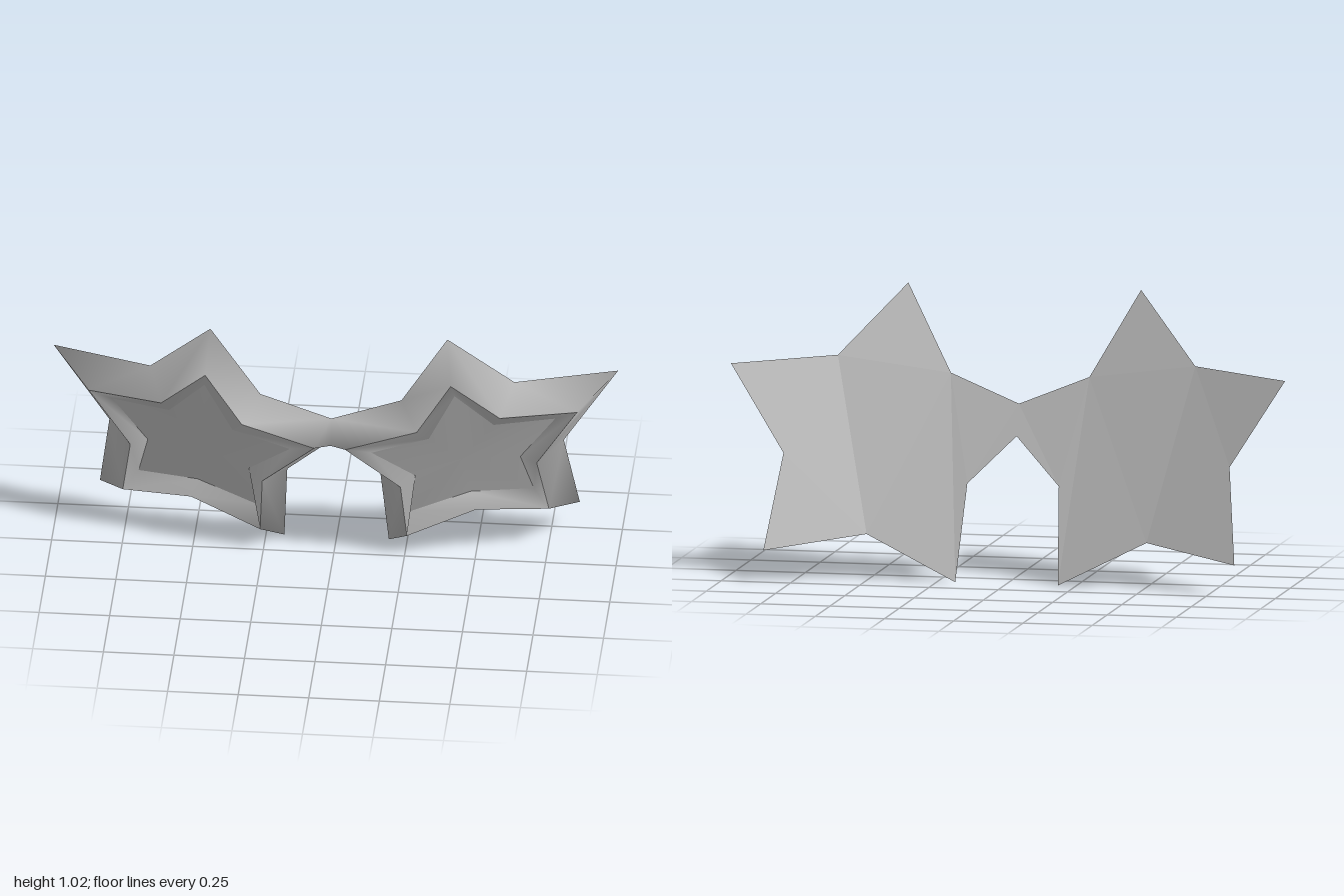
import * as THREE from 'three';
import { mergeVertices } from 'three/addons/utils/BufferGeometryUtils.js';

// Half outline of the back edge, from bridge top clockwise to bridge bottom
const outer = [
  [0, 0.615, 0.10], [0.25, 0.715, 0.12], [0.42, 1.02, 0.197], [0.645, 0.775, 0.06],
  [1.0, 0.755, -0.085], [0.805, 0.445, -0.11], [0.85, 0.115, -0.24], [0.505, 0.165, -0.11],
  [0.185, 0.003, -0.11], [0.165, 0.34, 0], [0, 0.505, 0.06],
];
// Sharp front rim of one star, starting at the tip beside the bridge
const rim = [
  [0.055, 0.53, 0.168], [0.31, 0.625, 0.185], [0.435, 0.852, 0.238], [0.60, 0.67, 0.138],
  [0.865, 0.65, 0.04], [0.72, 0.42, 0.015], [0.755, 0.177, -0.08], [0.505, 0.215, 0.012],
  [0.26, 0.095, 0.014], [0.245, 0.345, 0.10],
];
// Recessed lens star, same order as the rim
const lens = [
  [0.145, 0.503, 0.135], [0.348, 0.567, 0.128], [0.443, 0.775, 0.175], [0.575, 0.618, 0.098],
  [0.785, 0.6, 0.005], [0.66, 0.43, -0.008], [0.70, 0.25, -0.095], [0.483, 0.28, -0.003],
  [0.27, 0.19, 0.003], [0.295, 0.378, 0.07],
];
const bridgeFront = [0, 0.525, 0.137];
const lensCentre = [0.46, 0.45, 0.06];

// Strip of triangles between two matching outlines
function strip(a, b) {
  const tris = [];
  for (let i = 0; i < a.length - 1; i++) {
    tris.push([a[i], b[i], b[i + 1]], [a[i], b[i + 1], a[i + 1]]);
  }
  return tris;
}

// Mesh from triangles of one half plus their mirror image
function mirrored(name, tris, material, smooth) {
  const pos = [];
  for (const [a, b, c] of tris) {
    pos.push(...a, ...b, ...c);
    for (const p of [a, c, b]) pos.push(-p[0], p[1], p[2]);
  }
  let geo = new THREE.BufferGeometry();
  geo.setAttribute('position', new THREE.Float32BufferAttribute(pos, 3));
  if (smooth) geo = mergeVertices(geo);
  geo.computeVertexNormals();
  const mesh = new THREE.Mesh(geo, material);
  mesh.name = name;
  return mesh;
}

export function createModel() {
  const group = new THREE.Group();
  group.name = 'starGlasses';
  const grey = new THREE.MeshStandardMaterial({ color: 0xb4b4b4 });
  grey.name = 'grey';

  const closed = (loop) => [...loop, loop[0]];

  // Bevelled frame with the bridge between the stars
  const frame = strip(outer, closed(rim));
  frame.push([outer[0], bridgeFront, rim[0]], [outer[10], rim[0], bridgeFront]);
  group.add(mirrored('frame', frame, grey, true));

  // Sloping walls down to the lenses
  group.add(mirrored('recessWalls', strip(closed(rim), closed(lens)), grey, true));

  // Lenses as fans around their centres
  const fan = lens.map((p, i) => [lensCentre, lens[(i + 1) % lens.length], p]);
  group.add(mirrored('lenses', fan, grey, true));

  // Faceted closed back
  const back = [
    [0, 1, 9], [0, 9, 10], [1, 7, 8], [1, 8, 9], [2, 3, 1],
    [1, 3, 7], [3, 5, 7], [5, 6, 7], [3, 4, 5],
  ].map((t) => t.map((i) => outer[i]));
  group.add(mirrored('back', back, grey, false));

  return group;
}
